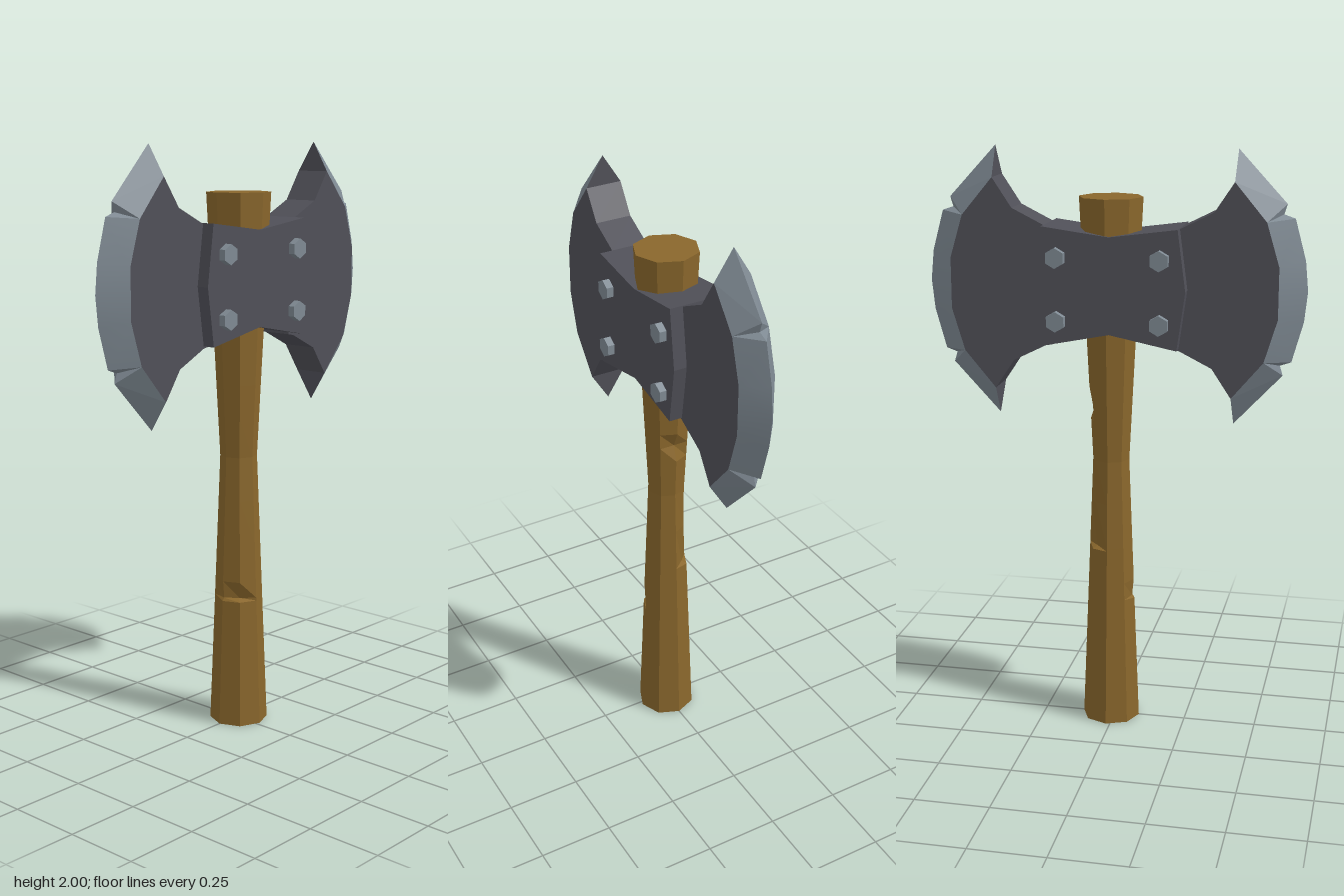
import * as THREE from 'three';
import { mergeVertices } from 'three/addons/utils/BufferGeometryUtils.js';

const mat = (name, color) => Object.assign(new THREE.MeshStandardMaterial({ color }), { name });

function mesh(name, geometry, material) {
  const m = new THREE.Mesh(geometry, material);
  m.name = name;
  return m;
}

// Geometry from a list of triangles; faceted unless smooth
function fromTriangles(tris, smooth = false) {
  let g = new THREE.BufferGeometry();
  g.setAttribute('position', new THREE.Float32BufferAttribute(tris.flat(2), 3));
  if (smooth) g = mergeVertices(g);
  g.computeVertexNormals();
  return g;
}

// Flat plate centred on z = 0
function plate(points, depth) {
  const shape = new THREE.Shape(points.map(([x, y]) => new THREE.Vector2(x, y)));
  return new THREE.ExtrudeGeometry(shape, { depth, bevelEnabled: false }).translate(0, 0, -depth / 2);
}

// Eight-sided waisted handle with a few chipped corners
function handleGeometry() {
  const radius = y => y < 0.95
    ? THREE.MathUtils.mapLinear(y, 0, 0.95, 0.1, 0.063)
    : THREE.MathUtils.mapLinear(y, 0.95, 1.84, 0.063, 0.108);
  // each ring: height, then dents by corner number
  const rings = [
    [0], [0.39], [0.445], [0.455, { 3: 0.025, 4: 0.008 }], [0.515], [0.635],
    [0.645, { 7: 0.018 }], [0.8, { 7: 0.006 }], [0.95], [1.09],
    [1.145, { 0: 0.021 }], [1.2], [1.84],
  ].map(([y, dents = {}]) => Array.from({ length: 8 }, (_, i) => {
    const r = radius(y) - (dents[i] || 0), a = i * Math.PI / 4;
    return [0.014 + r * Math.cos(a), y, r * Math.sin(a)];
  }));
  const tris = [];
  const top = rings.length - 1;
  for (let i = 0; i < 8; i++) {
    const k = (i + 1) % 8;
    for (let j = 0; j < top; j++) {
      const a = rings[j][i], b = rings[j][k], c = rings[j + 1][k], d = rings[j + 1][i];
      tris.push([a, d, c], [a, c, b]);
    }
    tris.push([[0.014, 0, 0], rings[0][i], rings[0][k]]);
    tris.push([[0.014, 1.84, 0], rings[top][k], rings[top][i]]);
  }
  return fromTriangles(tris);
}

// One blade pointing to +x, centred on its own height
function makeBlade(iron, steel) {
  const blade = new THREE.Group();
  const T = 0.063;
  const A = [0.4, 0.353, T], B = [0.505, 0.228, T], C = [0.548, 0.085, T];
  const a = [0.403, 0.453, 0], b = [0.563, 0.281, 0], n = [0.553, 0.248, 0];
  const c = [0.59, 0.235, 0], d = [0.627, 0.1, 0], e = [0.637, 0, 0];
  const flip = ([x, y, z]) => [x, -y, z];
  const mirrored = tris => [...tris, ...tris.map(([p, q, r]) => [flip(p), flip(r), flip(q)])];

  const half = [[0.2, 0.195], [0.225, 0.2], [0.335, 0.255], A, B, C];
  const outline = [...half, ...half.map(flip).reverse()].reverse();
  blade.add(mesh('bladeBody', plate(outline, 2 * T), iron));

  // Bevelled cutting edge: pointed horns with nicks, rounded middle
  const horns = mirrored([[A, B, b], [A, b, a], [B, n, b], [B, c, n]]);
  const middle = [...mirrored([[B, C, c], [C, d, c], [C, e, d]]), [C, flip(C), e]];
  const tip = [[A, a, [A[0], A[1], -T]]];
  for (const turn of [0, Math.PI]) {
    const side = new THREE.Group();
    side.name = turn ? 'backEdge' : 'frontEdge';
    side.add(
      mesh('edgeHorns', fromTriangles(horns), steel),
      mesh('edgeMiddle', fromTriangles(middle, true), steel),
      mesh('hornInnerFace', fromTriangles(tip), iron),
    );
    side.rotation.x = turn;
    blade.add(side);
  }
  return blade;
}

export function createModel() {
  const wood = mat('wood', 0x8a672c);
  const iron = mat('darkIron', 0x505058);
  const steel = mat('steel', 0x7f8a93);
  const model = new THREE.Group();
  model.name = 'doubleAxe';

  model.add(mesh('handle', handleGeometry(), wood));

  // Central socket block
  model.add(mesh('socket', plate([
    [-0.225, 1.355], [0, 1.4], [0.225, 1.355], [0.252, 1.55],
    [0.225, 1.75], [0, 1.72], [-0.225, 1.75], [-0.252, 1.55],
  ], 0.216), iron));

  // Two opposite blades
  for (const [name, turn] of [['leftBlade', 0], ['rightBlade', Math.PI]]) {
    const blade = makeBlade(iron, steel);
    blade.name = name;
    blade.position.y = 1.547;
    blade.rotation.y = turn;
    model.add(blade);
  }

  // Hexagonal rivets running through the socket
  for (const x of [-0.168, 0.176]) {
    for (const y of [1.44, 1.65]) {
      for (const z of [-0.115, 0.115]) {
        const rivet = mesh('rivet', new THREE.CylinderGeometry(0.034, 0.034, 0.034, 6).toNonIndexed(), steel);
        rivet.geometry.computeVertexNormals();
        rivet.rotation.x = Math.PI / 2;
        rivet.position.set(x, y, z);
        model.add(rivet);
      }
    }
  }
  return model;
}
